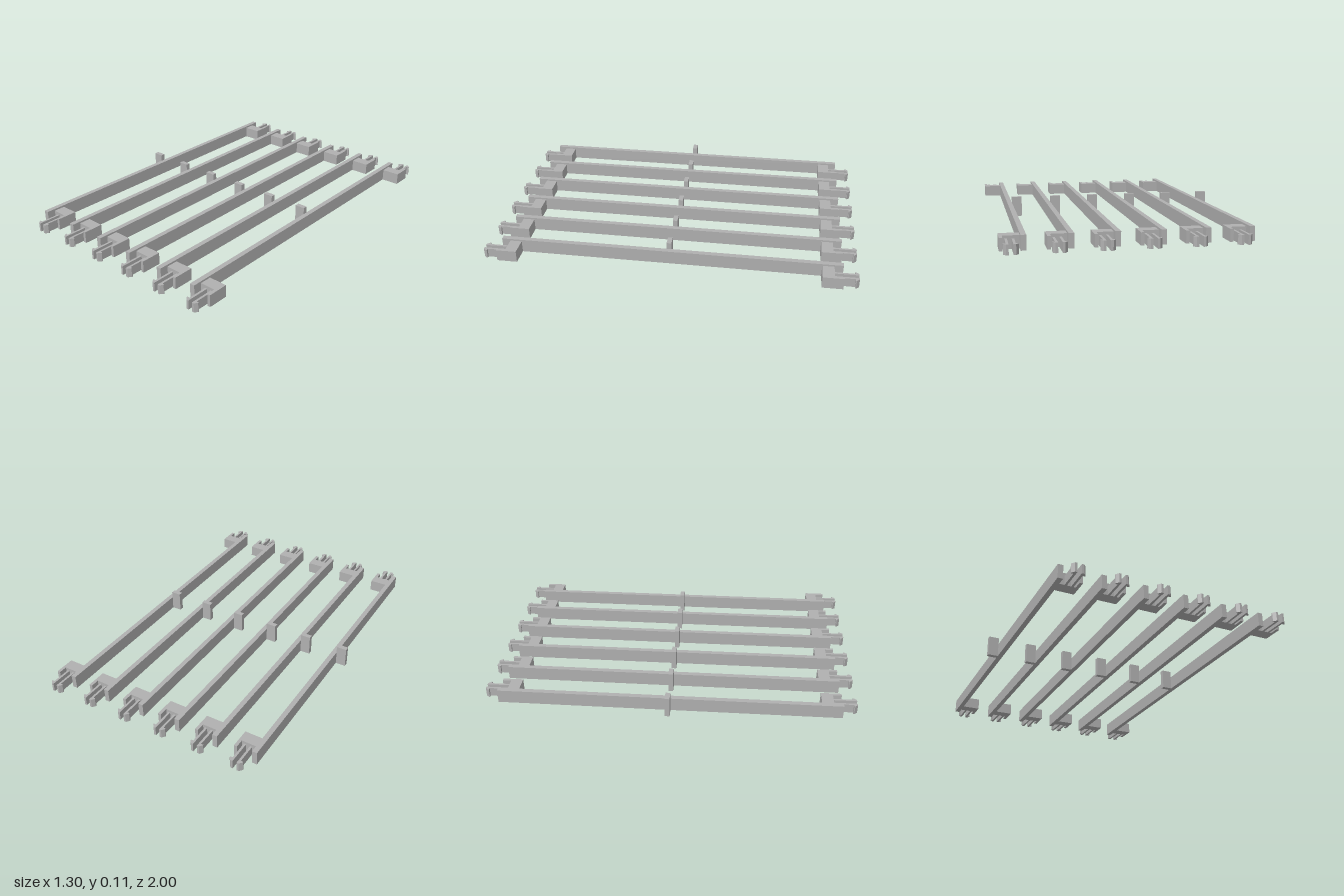
import * as THREE from 'three';

const COUNT = 6, SPACING = 0.224, WIDTH = 0.182;

// Extrudes an outline of [x, z] points upward from y = 0
function slab(points, height) {
  const shape = new THREE.Shape(points.map(([x, z]) => new THREE.Vector2(x, -z)));
  const geometry = new THREE.ExtrudeGeometry(shape, { depth: height, bevelEnabled: false });
  return geometry.rotateX(-Math.PI / 2);
}

function box(x0, x1, height, halfDepth) {
  return new THREE.BoxGeometry(x1 - x0, height, 2 * halfDepth)
    .translate((x0 + x1) / 2, height / 2, 0);
}

export function createModel() {
  const grey = new THREE.MeshStandardMaterial({ color: 0xb0b0b0 });
  grey.name = 'plainGrey';
  const model = new THREE.Group();
  model.name = 'clipBars';

  // Geometry shared by all bars, measured from the bar's left edge
  const parts = [
    ['centreTab', box(0, 0.056, 0.112, 0.013)],
    ['beam', box(0.055, 0.082, 0.075, 0.92)],
  ];
  for (const end of [1, -1]) {
    const side = end > 0 ? 'front' : 'back';
    // End block with a guard arm on its outer edge
    const block = [[0.081, 0.81], [0.182, 0.81], [0.182, 0.92], [0.165, 0.92], [0.165, 0.873], [0.081, 0.873]];
    parts.push([side + 'EndBlock', slab(block.map(([x, z]) => [x, z * end]), 0.065)]);
    // Pair of snap prongs with outward barbs
    for (const s of [1, -1]) {
      const prong = [[0.011, 0.865], [0.023, 0.865], [0.023, 0.979], [0.036, 0.979], [0.036, 0.984], [0.023, 1], [0.011, 1]];
      parts.push([side + (s > 0 ? 'Left' : 'Right') + 'Prong',
        slab(prong.map(([x, z]) => [0.131 + s * x, z * end]), 0.05)]);
    }
  }

  for (let i = 0; i < COUNT; i++) {
    const bar = new THREE.Group();
    bar.name = 'bar' + (i + 1);
    bar.position.x = i * SPACING - (SPACING * (COUNT - 1) + WIDTH) / 2;
    for (const [name, geometry] of parts) {
      const mesh = new THREE.Mesh(geometry, grey);
      mesh.name = name;
      bar.add(mesh);
    }
    model.add(bar);
  }
  return model;
}
